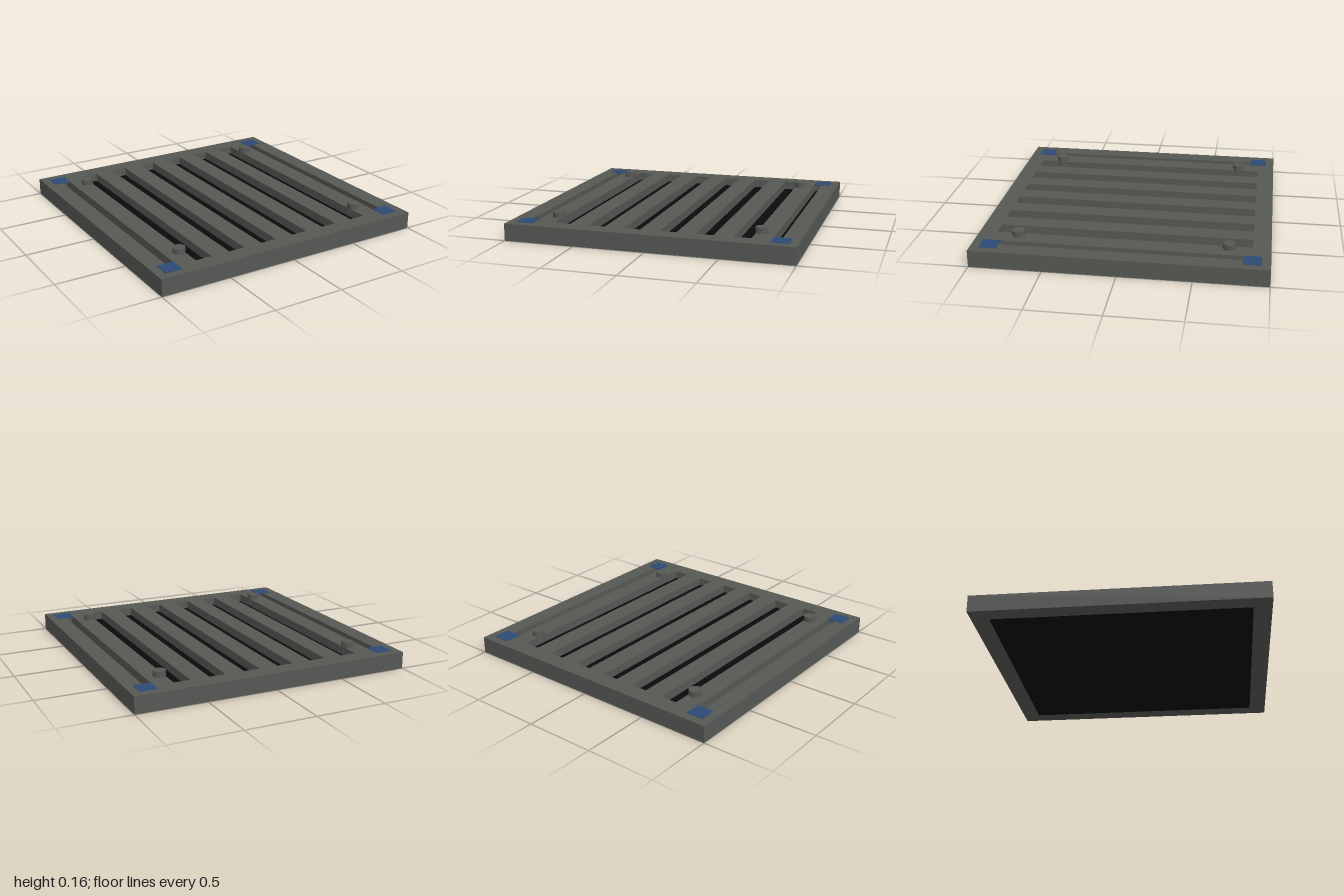
import * as THREE from 'three';

export function createModel() {
  const model = new THREE.Group();
  model.name = 'floorGrate';

  const mat = (name, color) => {
    const m = new THREE.MeshStandardMaterial({ color });
    m.name = name;
    return m;
  };
  const steel = mat('grey steel', 0x565854);
  const black = mat('black base', 0x0a0a0a);
  const blue = mat('blue marker', 0x2c4a75);

  const add = (name, geometry, material, x, y, z) => {
    const mesh = new THREE.Mesh(geometry, material);
    mesh.name = name;
    mesh.position.set(x, y, z);
    model.add(mesh);
  };

  const TOP = 0.12, INNER = 0.877, FLOOR = 0.06;

  const rect = (target, h) => {
    target.moveTo(-h, -h);
    target.lineTo(h, -h);
    target.lineTo(h, h);
    target.lineTo(-h, h);
    target.closePath();
    return target;
  };

  // Square outer frame
  const outline = rect(new THREE.Shape(), 1);
  outline.holes.push(rect(new THREE.Path(), INNER));
  const frame = new THREE.ExtrudeGeometry(outline, { depth: TOP, bevelEnabled: false });
  frame.rotateX(-Math.PI / 2);
  add('frame', frame, steel, 0, 0, 0);

  // Dark plate closing the underside
  add('basePlate', new THREE.BoxGeometry(INNER * 2, FLOOR, INNER * 2), black, 0, FLOOR / 2, 0);

  // Seven slats running front to back
  const slat = new THREE.BoxGeometry(0.135, TOP - FLOOR, INNER * 2);
  for (let i = -3; i <= 3; i++) add('slat', slat, steel, i * 0.251, (TOP + FLOOR) / 2, 0);

  // Pegs and corner markers, one of each per corner
  const peg = new THREE.CylinderGeometry(0.043, 0.043, 0.08, 16);
  const marker = new THREE.BoxGeometry(0.12, 0.006, 0.12);
  for (const sx of [-1, 1]) {
    for (const sz of [-1, 1]) {
      add('peg', peg, steel, sx * 0.72, 0.12, sz * 0.72);
      add('cornerMarker', marker, blue, sx * 0.88, TOP, sz * 0.88);
    }
  }
  return model;
}
